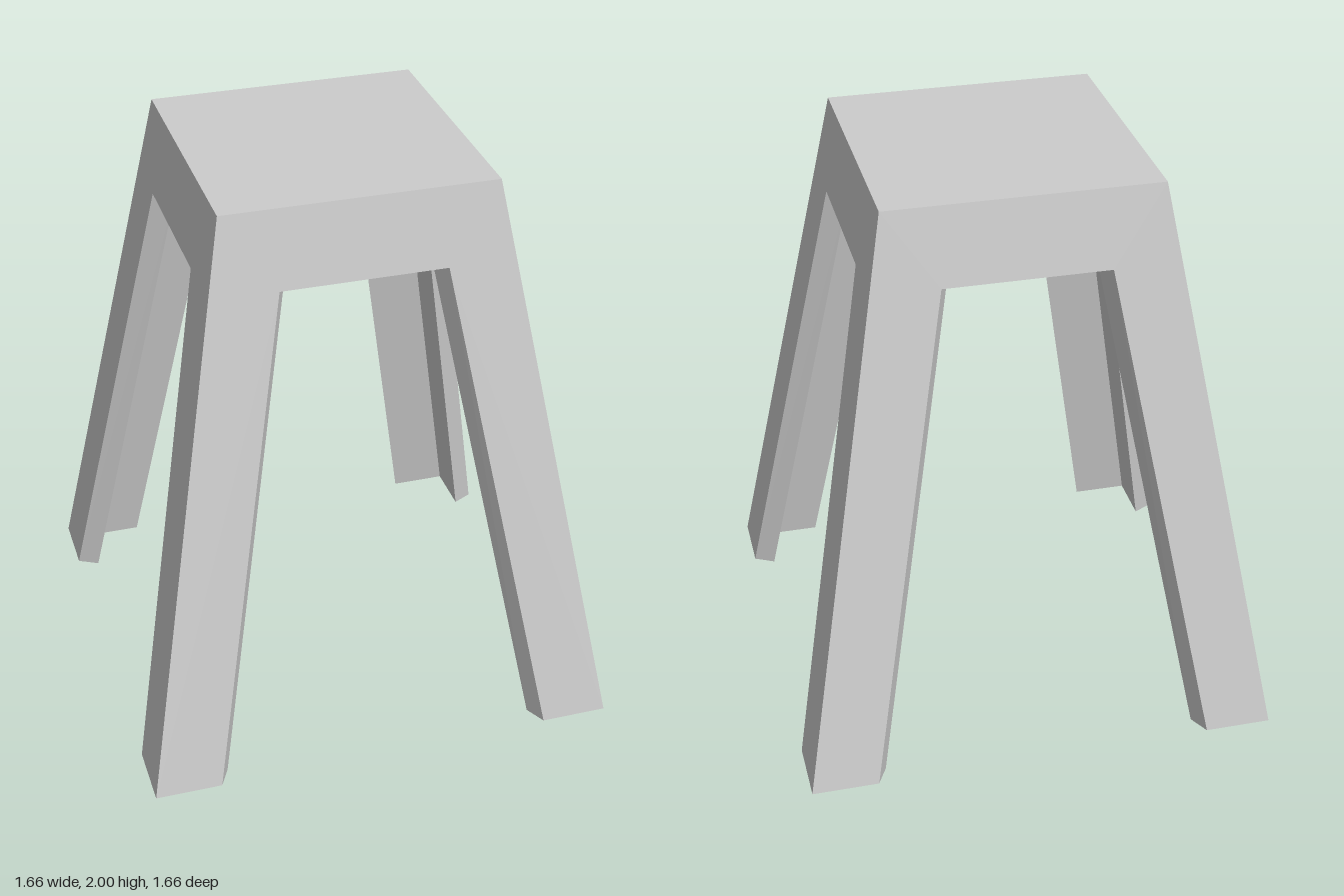
import * as THREE from 'three';

const material = new THREE.MeshStandardMaterial({ color: 0xcccccc, flatShading: true });

// Half outline of one side: [x, y], from the foot corner round the cut-out to the top corner
const OUTER = [[0.828, 0], [0.595, 0], [0.285, 1.73], [0.47, 2]];
const INNER = [[0.757, 0], [0.558, 0], [0.25, 1.73], [0.412, 1.93]];

// Places the outline on its sloping plane and mirrors it, counterclockwise from the front
function outline([foot, footIn, cut, top]) {
  const slope = (foot[0] - top[0]) / top[1];
  const place = (s) => ([x, y]) => new THREE.Vector3(s * x, y, foot[0] - slope * y);
  return [
    ...[foot, footIn, cut].map(place(-1)),
    ...[cut, footIn, foot, top].map(place(1)),
    place(-1)(top),
  ];
}

// One sloping side: two half legs joined by the apron, with thickness
function sideGeometry() {
  const outer = outline(OUTER);
  const inner = outline(INNER);
  const points = [];
  const quad = (a, b, c, d) => points.push(a, b, c, a, c, d);
  for (const [a, b, c, d] of [[0, 1, 2, 7], [7, 2, 3, 6], [3, 4, 5, 6]]) {
    quad(outer[a], outer[b], outer[c], outer[d]);
    quad(inner[d], inner[c], inner[b], inner[a]);
  }
  // rim along the feet and the cut-out
  for (let i = 0; i < 5; i++) quad(outer[i], inner[i], inner[i + 1], outer[i + 1]);
  const geometry = new THREE.BufferGeometry().setFromPoints(points);
  geometry.computeVertexNormals();
  return geometry;
}

// Flat square facing up or down
function square(name, half, y, facing) {
  const mesh = new THREE.Mesh(new THREE.PlaneGeometry(2 * half, 2 * half), material);
  mesh.name = name;
  mesh.rotation.x = -facing * Math.PI / 2;
  mesh.position.y = y;
  return mesh;
}

export function createModel() {
  const stool = new THREE.Group();
  stool.name = 'stool';

  // four equal sides
  const geometry = sideGeometry();
  ['frontSide', 'leftSide', 'backSide', 'rightSide'].forEach((name, i) => {
    const side = new THREE.Mesh(geometry, material);
    side.name = name;
    side.rotation.y = i * Math.PI / 2;
    stool.add(side);
  });

  // seat and its underside
  stool.add(square('seatTop', OUTER[3][0], OUTER[3][1], 1));
  stool.add(square('seatUnderside', INNER[3][0], INNER[3][1], -1));
  return stool;
}
